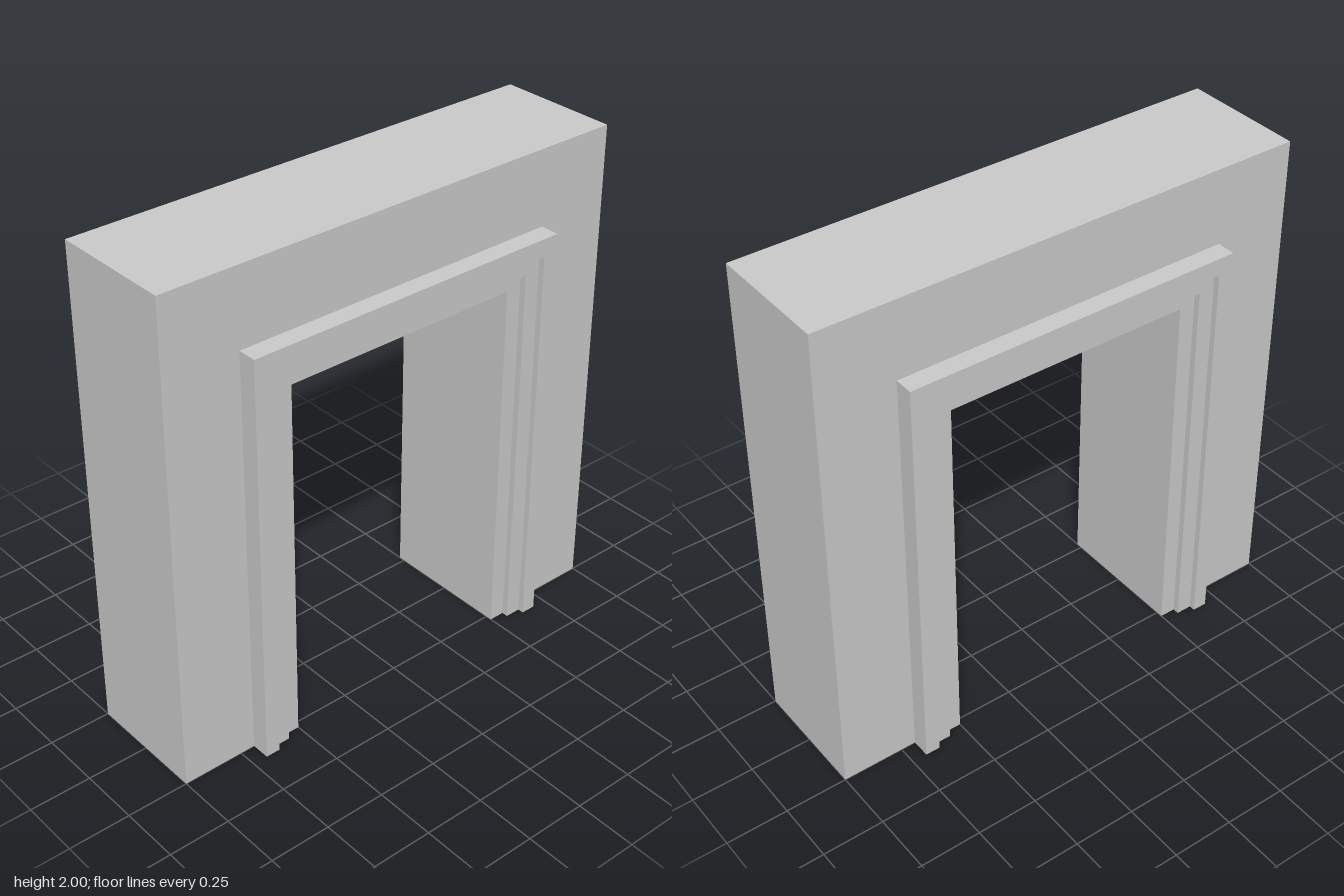
import * as THREE from 'three';

const WALL_HALF = 0.25;

// Outline of a doorway: up the left jamb, over the head (with optional rise), down the right jamb
function outline(halfWidth, height, rise = 0) {
  const pts = [[-halfWidth, 0], [-halfWidth, height]];
  if (rise) pts.push([-halfWidth / 2, height + rise * 0.6], [0, height + rise], [halfWidth / 2, height + rise * 0.6]);
  pts.push([halfWidth, height], [halfWidth, 0]);
  return pts.map(([x, y]) => new THREE.Vector2(x, y));
}

// Solid U-shaped frame lying between two doorway outlines
function frame(name, outer, inner, depth, z, material) {
  const shape = new THREE.Shape([...outer, ...inner.slice().reverse()]);
  const geometry = new THREE.ExtrudeGeometry(shape, { depth, bevelEnabled: false });
  const mesh = new THREE.Mesh(geometry, material);
  mesh.name = name;
  mesh.position.z = z;
  return mesh;
}

export function createModel() {
  const model = new THREE.Group();
  model.name = 'doorway';
  const material = new THREE.MeshStandardMaterial({ color: 0xcccccc, flatShading: true });

  const opening = outline(0.5, 1.5);

  // Thick wall around the opening
  model.add(frame('wall', outline(1, 2), opening, WALL_HALF * 2, -WALL_HALF, material));

  // Stepped moulding, from the outermost band to the opening, on both faces
  const edges = [outline(0.69, 1.69), outline(0.63, 1.618, 0.012), outline(0.565, 1.555, 0.012), opening];
  const bands = [['outerBand', 0.077], ['middleBand', 0.052], ['innerBand', 0.026]];
  for (const side of ['front', 'back']) {
    const moulding = new THREE.Group();
    moulding.name = side + 'Moulding';
    bands.forEach(([name, depth], i) => {
      const z = side === 'front' ? WALL_HALF : -WALL_HALF - depth;
      moulding.add(frame(name, edges[i], edges[i + 1], depth, z, material));
    });
    model.add(moulding);
  }
  return model;
}
